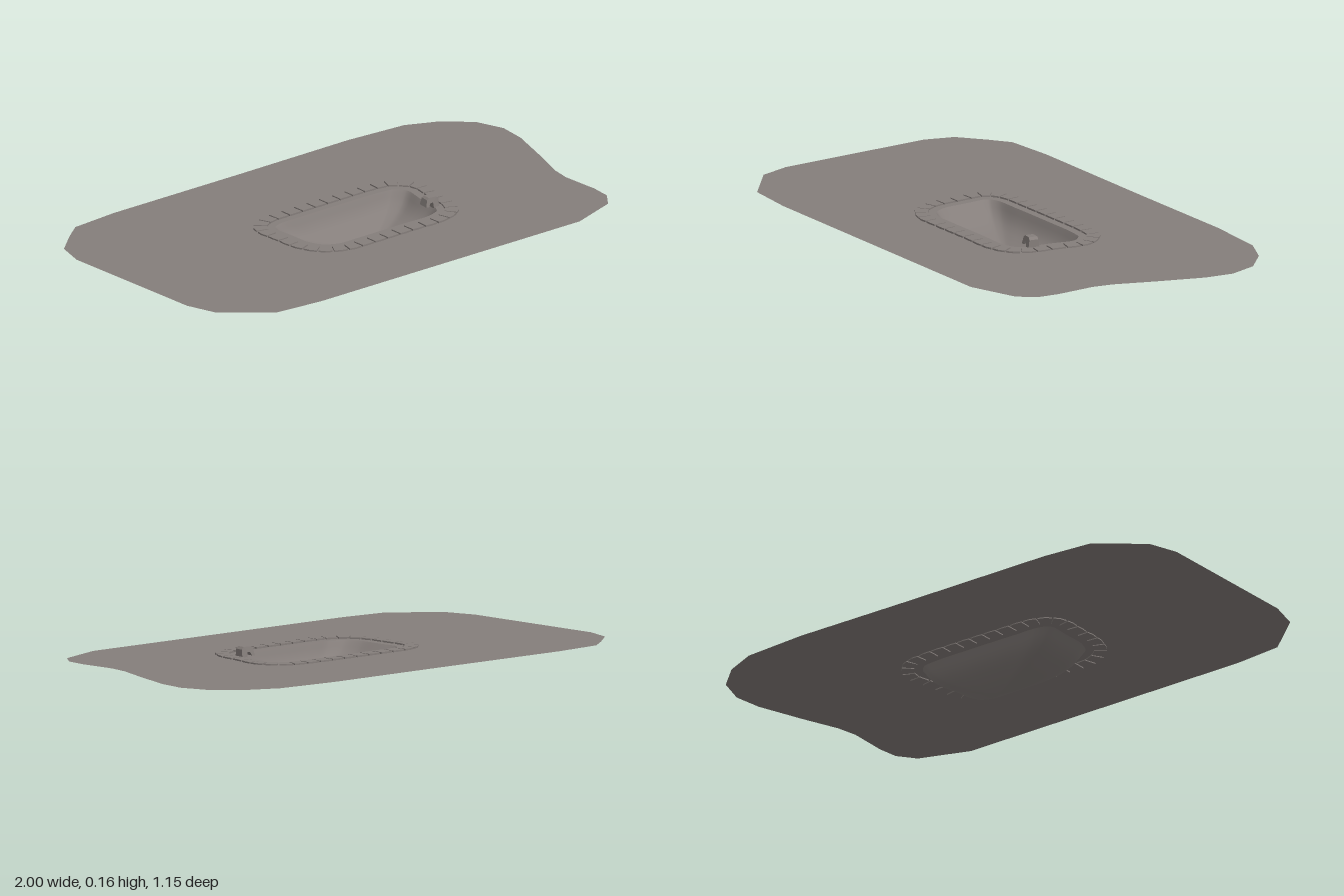
import * as THREE from 'three';

const GROUND_Y = 0.121;
const TILE_COUNT = 36;
const v2 = ([x, z]) => new THREE.Vector2(x, -z);

// Outlines as [x, z] points
const SHEET = [
  [-1, -0.32], [-0.965, -0.43], [-0.87, -0.51], [-0.795, -0.565], [-0.6, -0.58], [0, -0.575],
  [0.5, -0.575], [0.75, -0.555], [0.87, -0.5], [0.965, -0.41], [1, -0.3], [0.985, -0.19],
  [0.925, -0.015], [0.87, 0.13], [0.855, 0.21], [0.86, 0.36], [0.85, 0.44], [0.8, 0.505],
  [0.61, 0.57], [0, 0.565], [-0.6, 0.56], [-0.795, 0.54], [-0.96, 0.4], [-0.995, 0.28],
];
const RIM = [
  [-0.34, -0.1], [-0.31, -0.155], [-0.24, -0.19], [-0.1, -0.195], [0.1, -0.195], [0.25, -0.192],
  [0.34, -0.175], [0.405, -0.11], [0.42, -0.05], [0.4, 0.05], [0.385, 0.15], [0.34, 0.22],
  [0.25, 0.255], [0.1, 0.255], [-0.1, 0.255], [-0.2, 0.25], [-0.29, 0.2], [-0.335, 0.11], [-0.34, 0],
];
const rimCurve = new THREE.CatmullRomCurve3(
  RIM.map(([x, z]) => new THREE.Vector3(x, 0, z)), true, 'centripetal');

// Point on the rim outline, moved inward by a distance
function rimPoint(t, inset) {
  const u = ((t % 1) + 1) % 1;
  const p = rimCurve.getPointAt(u);
  const d = rimCurve.getTangentAt(u);
  return [p.x - d.z * inset, p.z + d.x * inset];
}

// Flat sheet of ground with an opening for the pool
function makeGround(opening, material) {
  const shape = new THREE.Shape(SHEET.map(v2));
  shape.holes.push(new THREE.Path(opening.map(v2)));
  const geometry = new THREE.ShapeGeometry(shape).rotateX(-Math.PI / 2).translate(0, GROUND_Y, 0);
  const mesh = new THREE.Mesh(geometry, material);
  mesh.name = 'ground';
  return mesh;
}

// Bowl made of rings that shrink towards the deepest point
function makeBasin(opening, material) {
  const cx = 0.08, cz = 0.045, n = opening.length;
  const profile = [ // [scale, height]
    [1, GROUND_Y], [0.975, 0.113], [0.94, 0.1], [0.88, 0.08], [0.78, 0.06],
    [0.65, 0.044], [0.5, 0.03], [0.33, 0.016], [0.15, 0.005], [0.001, 0],
  ];
  const positions = [], index = [];
  profile.forEach(([s, y], r) => {
    opening.forEach(([x, z], i) => {
      positions.push(cx + (x - cx) * s, y, cz + (z - cz) * s);
      if (r === 0) return;
      const a = (r - 1) * n + i, b = (r - 1) * n + (i + 1) % n;
      index.push(a, a + n, b, b, a + n, b + n);
    });
  });
  const geometry = new THREE.BufferGeometry();
  geometry.setAttribute('position', new THREE.Float32BufferAttribute(positions, 3));
  geometry.setIndex(index);
  geometry.computeVertexNormals();
  const mesh = new THREE.Mesh(geometry, material);
  mesh.name = 'basin';
  return mesh;
}

// Ring of thin paving stones with slightly uneven sizes
function makeRim(material) {
  const rim = new THREE.Group();
  rim.name = 'stoneRim';
  for (let i = 0; i < TILE_COUNT; i++) {
    const wobble = Math.sin(i * 12.9) * 0.5;
    const a = (i + 0.06 + 0.03 * wobble) / TILE_COUNT;
    const b = (i + 0.94 + 0.03 * wobble) / TILE_COUNT;
    const m = (a + b) / 2;
    const inner = 0.05 + 0.003 * wobble, outer = 0.001 + 0.001 * Math.abs(wobble);
    const corners = [
      rimPoint(a, inner), rimPoint(b, inner),
      rimPoint(b, outer + 0.002), rimPoint(m, outer), rimPoint(a, outer + 0.002),
    ];
    const geometry = new THREE.ExtrudeGeometry(new THREE.Shape(corners.map(v2)), {
      depth: 0.01 + 0.001 * wobble, bevelEnabled: false,
    }).rotateX(-Math.PI / 2).translate(0, 0.117, 0);
    const stone = new THREE.Mesh(geometry, material);
    stone.name = 'rimStone';
    rim.add(stone);
  }
  return rim;
}

// Small hooked spout at the pool edge, narrower at the top
function makeSpout(material) {
  const shape = new THREE.Shape([
    [0.028, -0.012], [0.028, 0.028], [0.02, 0.037], [-0.012, 0.037], [-0.02, 0.03],
    [-0.026, 0.004], [-0.014, 0.004], [-0.006, 0.018], [0.004, 0.018], [0.008, -0.012],
  ].map(([x, y]) => new THREE.Vector2(x, y)));
  const geometry = new THREE.ExtrudeGeometry(shape, { depth: 0.046, bevelEnabled: false })
    .translate(0, 0, -0.023);
  const p = geometry.attributes.position;
  for (let i = 0; i < p.count; i++) {
    p.setZ(i, p.getZ(i) * (1 - Math.max(0, p.getY(i)) * 8));
  }
  geometry.computeVertexNormals();
  const mesh = new THREE.Mesh(geometry, material);
  mesh.position.set(0.302, GROUND_Y, 0.102);
  mesh.rotation.y = -0.15;
  mesh.name = 'spout';
  return mesh;
}

export function createModel() {
  const material = new THREE.MeshStandardMaterial({ color: 0x857e7b, side: THREE.DoubleSide });
  const opening = Array.from({ length: 72 }, (_, i) => rimPoint(i / 72, 0.08));
  const model = new THREE.Group();
  model.name = 'pondWithStoneRim';
  model.add(
    makeGround(opening, material),
    makeBasin(opening, material),
    makeRim(material),
    makeSpout(material),
  );
  return model;
}
